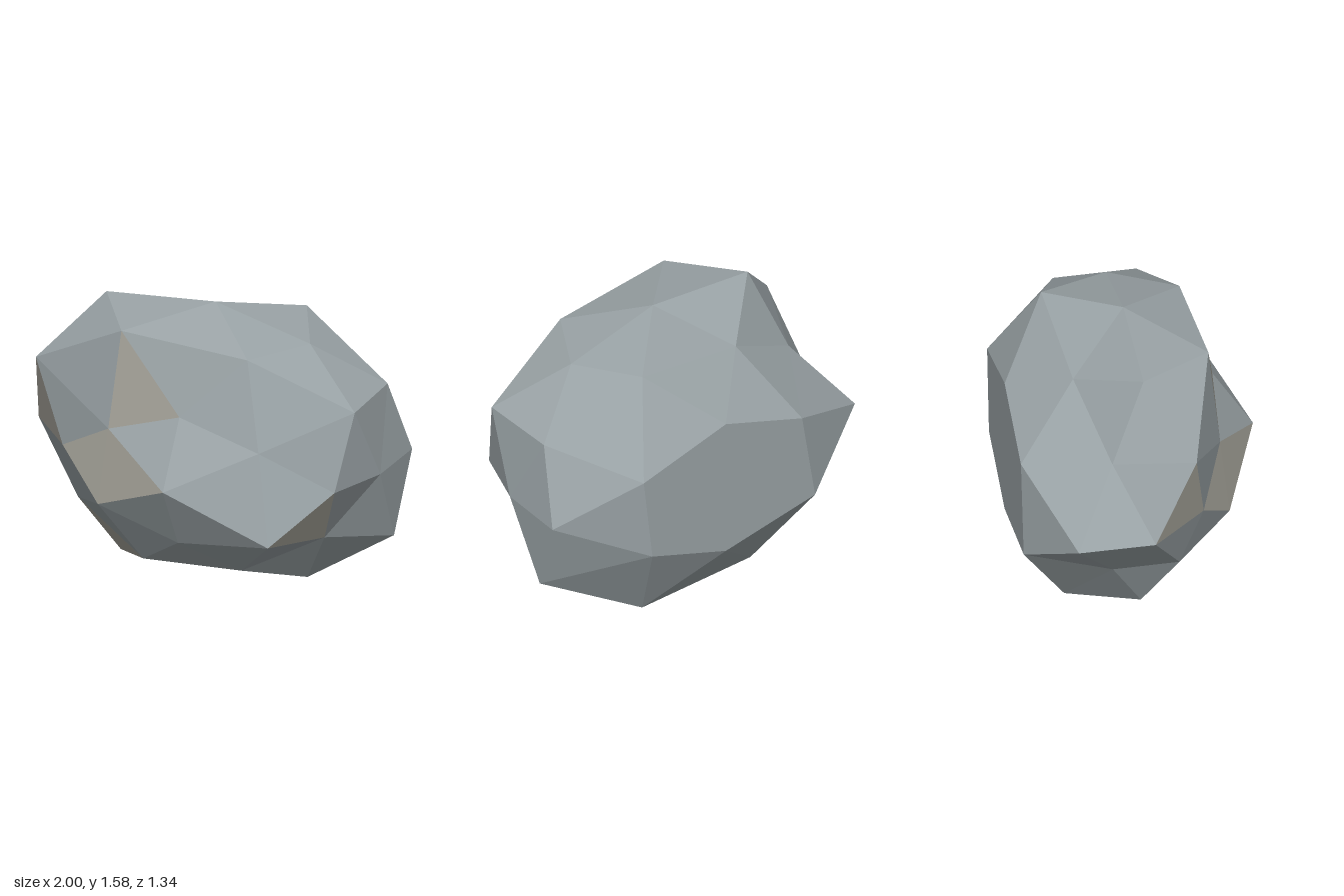
import * as THREE from 'three';

const CENTER = new THREE.Vector3(0.03, 0.75, -0.03);
const SCALE = new THREE.Vector3(1.3, 1, 0.847);
const BACK_Z = -0.67; // flat back plane

// Directions of a subdivided icosahedron, by family. Radii follow the sign order
// +++ ++- +-+ +-- -++ -+- --+ --- (axes whose value is 0 do not branch).
const FAMILIES = [
  [[1, 0, 0], [0.736, 0.79]],
  [[0, 1, 0], [0.835, 0.654]],
  [[0, 0, 1], [0.826, 0.8]],
  [[0.526, 0.851, 0], [0.803, 0.78, 0.927, 0.805]],
  [[0, 0.526, 0.851], [0.666, 0.79, 0.694, 0.76]],
  [[0.851, 0, 0.526], [0.758, 0.877, 0.683, 0.935]],
  [[0.309, 0.809, 0.5], [0.855, 0.9, 0.69, 0.922, 0.932, 0.765, 0.715, 0.9]],
  [[0.809, 0.5, 0.309], [0.862, 0.856, 0.675, 0.888, 0.895, 0.725, 0.685, 0.69]],
  [[0.5, 0.309, 0.809], [0.712, 0.845, 0.866, 0.756, 0.656, 0.785, 0.72, 0.918]],
];

// Facets with a warmer stone tint, by direction
const WARM = [
  [-0.81, 1.64, 2.16], [-1, 0, 2.62], [-1.85, 0, 2.14], [-2.66, 0.5, 0.84],
  [2.16, -0.81, 1.64], [0.84, -2.66, 0.5], [-1.64, -2.16, 0.81],
].map((d) => new THREE.Vector3(...d).normalize());

function makeBumps() {
  const bumps = [];
  const signs = (v) => (v === 0 ? [0] : [1, -1]);
  for (const [[x, y, z], radii] of FAMILIES) {
    let i = 0;
    for (const sx of signs(x))
      for (const sy of signs(y))
        for (const sz of signs(z))
          bumps.push({ dir: new THREE.Vector3(x * sx, y * sy, z * sz), r: radii[i++] });
  }
  return bumps;
}

// Push a sphere point in or out, stretch it and flatten the back
function shape(dir, bumps) {
  let best = bumps[0];
  for (const b of bumps) if (b.dir.dot(dir) > best.dir.dot(dir)) best = b;
  const p = dir.clone().multiplyScalar(best.r).multiply(SCALE).add(CENTER);
  if (p.z < -0.5) p.z = BACK_Z;
  return p;
}

function facetMesh(name, points, color) {
  const geometry = new THREE.BufferGeometry().setFromPoints(points);
  geometry.computeVertexNormals();
  const mesh = new THREE.Mesh(geometry, new THREE.MeshStandardMaterial({ color, flatShading: true }));
  mesh.name = name;
  return mesh;
}

export function createModel() {
  const rock = new THREE.Group();
  rock.name = 'rock';
  const bumps = makeBumps();
  const pos = new THREE.IcosahedronGeometry(1, 1).getAttribute('position');
  const stone = [];
  const warm = [];

  // Sort each deformed facet into its tint
  for (let i = 0; i < pos.count; i += 3) {
    const corners = [0, 1, 2].map((k) => new THREE.Vector3().fromBufferAttribute(pos, i + k));
    const mid = new THREE.Vector3();
    corners.forEach((c) => mid.add(c));
    mid.normalize();
    const target = WARM.some((d) => d.dot(mid) > 0.995) ? warm : stone;
    target.push(...corners.map((c) => shape(c, bumps)));
  }

  rock.add(facetMesh('stoneFacets', stone, 0x9aa3a6));
  rock.add(facetMesh('warmFacets', warm, 0xa8a69c));
  return rock;
}
